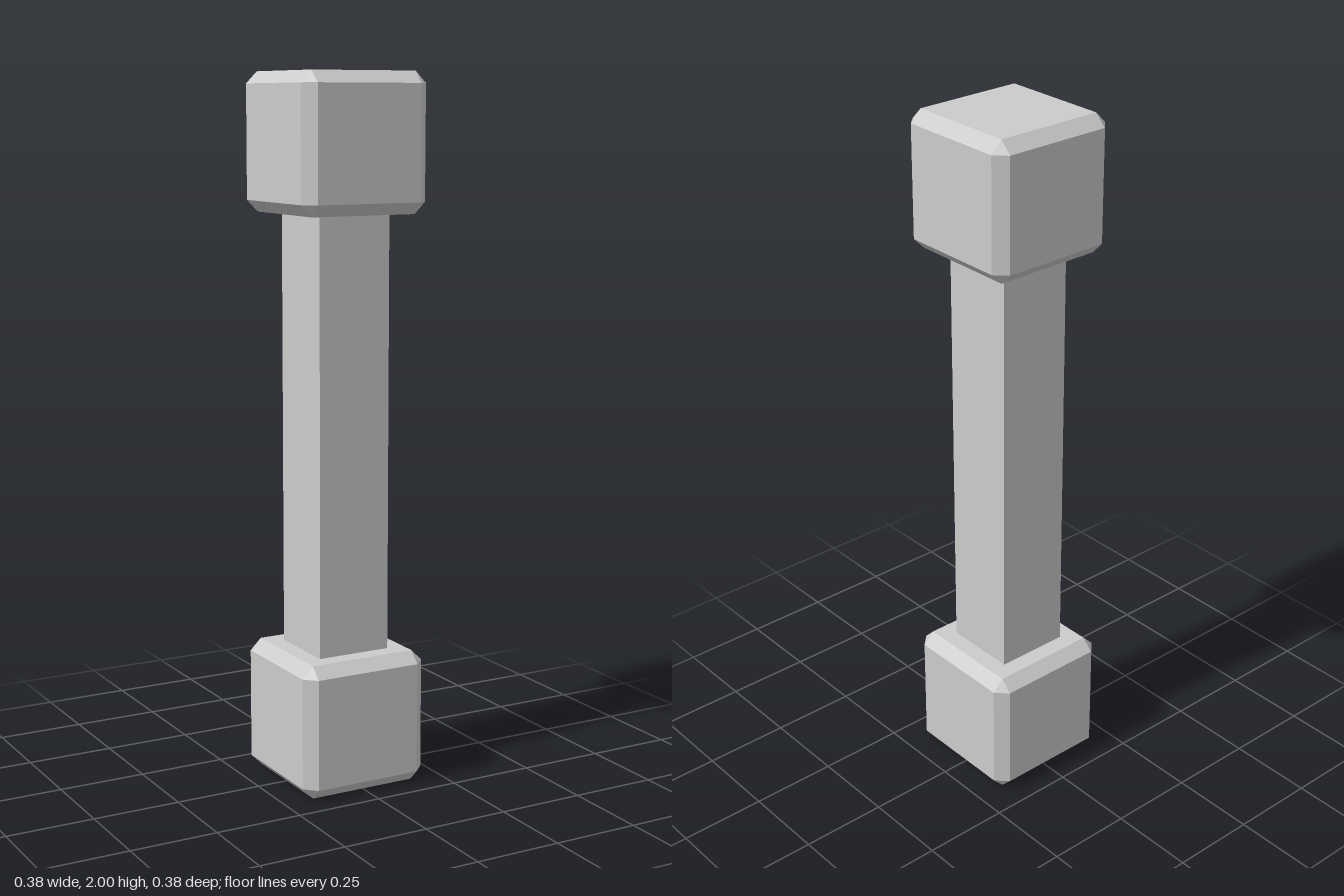
import * as THREE from 'three';
import { ConvexGeometry } from 'three/addons/geometries/ConvexGeometry.js';

const HALF = 0.192;   // half width of an end block
const INNER = 0.159;  // half width of its flat faces
const POST = 0.109;   // half width of the post

// Cube with chamfered edges and triangular corners
function chamferedCube(half, inner) {
  const points = [];
  for (const x of [-1, 1]) for (const y of [-1, 1]) for (const z of [-1, 1]) {
    for (let axis = 0; axis < 3; axis++) {
      const p = new THREE.Vector3(x, y, z).multiplyScalar(inner);
      p.setComponent(axis, Math.sign(p.getComponent(axis)) * half);
      points.push(p);
    }
  }
  return new ConvexGeometry(points);
}

export function createModel() {
  const group = new THREE.Group();
  group.name = 'post';
  const material = new THREE.MeshStandardMaterial({ color: 0xcccccc, flatShading: true });

  // Matching blocks at both ends
  const blockGeometry = chamferedCube(HALF, INNER);
  for (const [name, y] of [['baseBlock', HALF], ['capBlock', 2 - HALF]]) {
    const block = new THREE.Mesh(blockGeometry, material);
    block.name = name;
    block.position.y = y;
    group.add(block);
  }

  // Square shaft spanning between the blocks
  const shaft = new THREE.Mesh(new THREE.BoxGeometry(POST * 2, 2 - 4 * HALF, POST * 2), material);
  shaft.name = 'shaft';
  shaft.position.y = 1;
  group.add(shaft);

  return group;
}
